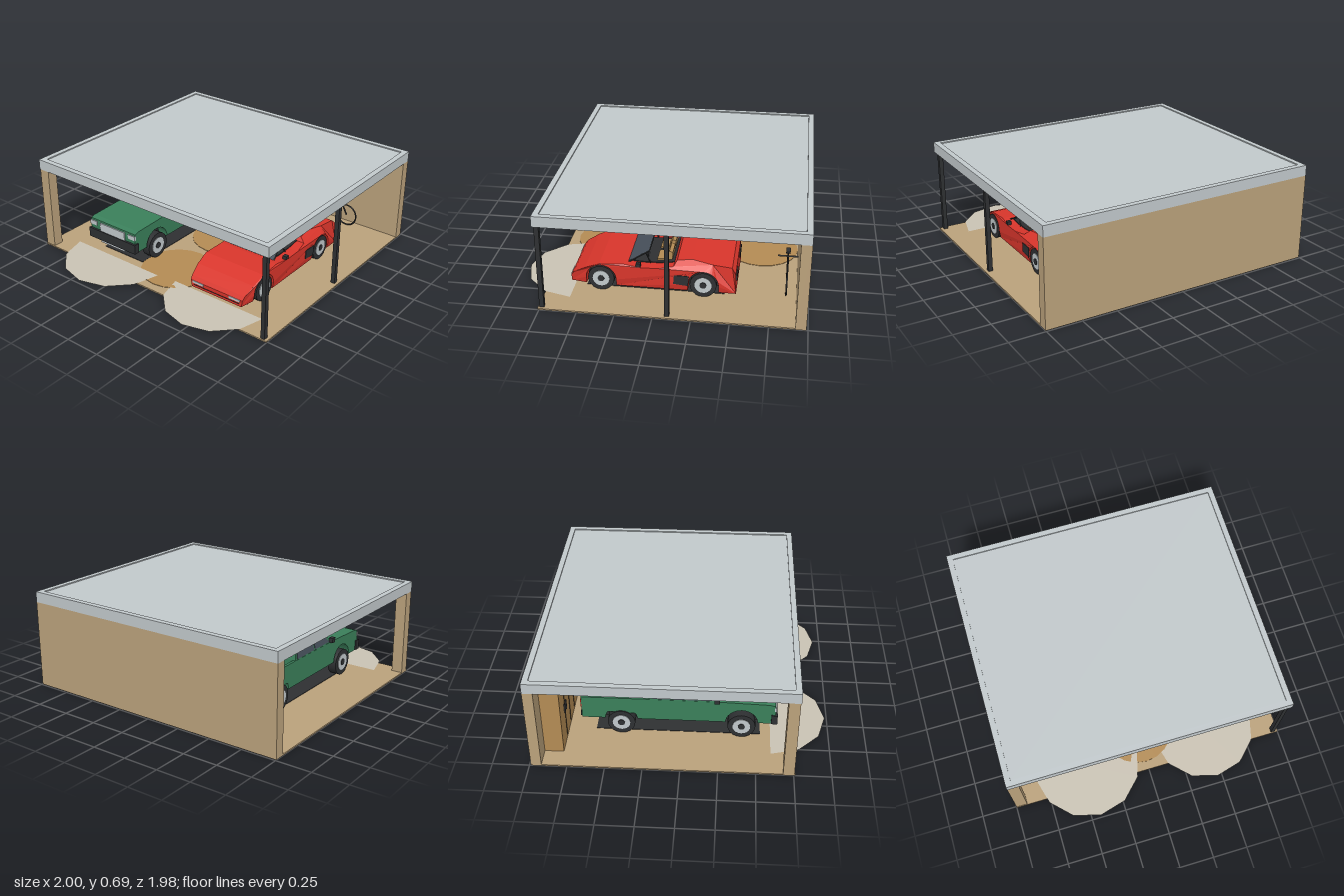
import * as THREE from 'three';

const mat = (name, color, side = THREE.FrontSide) => {
  const m = new THREE.MeshStandardMaterial({ color, side });
  m.name = name;
  return m;
};

export function createModel() {
  const tan = mat('tan', 0xbaa17b);
  const wood = mat('wood', 0xb38b54);
  const grey = mat('roofGrey', 0xc1c8cb);
  const pale = mat('paleStone', 0xc9c2b3, THREE.DoubleSide);
  const dark = mat('darkGrey', 0x2e3032);
  const glass = mat('glass', 0x48515c);
  const green = mat('green', 0x3a7f5a);
  const red = mat('red', 0xd8352b);

  const model = new THREE.Group();
  const group = (name, x = 0, parent = model) => {
    const g = new THREE.Group();
    g.name = name;
    g.position.x = x;
    parent.add(g);
    return g;
  };
  const add = (parent, name, geo, material, x = 0, y = 0, z = 0) => {
    const m = new THREE.Mesh(geo, material);
    m.name = name;
    m.position.set(x, y, z);
    parent.add(m);
    return m;
  };
  // box given by its limits on each axis
  const box = (parent, name, material, x0, x1, y0, y1, z0, z1) =>
    add(parent, name, new THREE.BoxGeometry(x1 - x0, y1 - y0, z1 - z0), material,
      (x0 + x1) / 2, (y0 + y1) / 2, (z0 + z1) / 2);
  // side outline of [z, y] points swept across x, with half width given by a rule
  const sweep = (parent, name, material, shape, half) => {
    if (Array.isArray(shape)) shape = new THREE.Shape(shape.map(p => new THREE.Vector2(...p)));
    const geo = new THREE.ExtrudeGeometry(shape, { depth: 2, bevelEnabled: false, curveSegments: 8 });
    geo.translate(0, 0, -1).rotateY(-Math.PI / 2);
    const p = geo.attributes.position;
    for (let i = 0; i < p.count; i++) p.setX(i, p.getX(i) * half(p.getY(i), p.getZ(i)));
    geo.computeVertexNormals();
    return add(parent, name, geo, material);
  };
  // body outline with two wheel arches cut from the bottom edge
  const archedShape = (top, bottom, arches, cy, r) => {
    const s = new THREE.Shape();
    s.moveTo(top[top.length - 1][0], bottom);
    for (const z of arches) {
      s.lineTo(z - r, bottom);
      s.absarc(z, cy, r, Math.PI, 0, true);
      s.lineTo(z + r, bottom);
    }
    s.lineTo(top[0][0], bottom);
    top.forEach(p => s.lineTo(...p));
    return s;
  };
  const rod = (parent, name, material, a, b, r) => {
    const path = new THREE.LineCurve3(new THREE.Vector3(...a), new THREE.Vector3(...b));
    return add(parent, name, new THREE.TubeGeometry(path, 1, r, 6), material);
  };
  const wheels = (parent, track, axles, r, w) => {
    for (const z of axles) for (const s of [-1, 1]) {
      const g = group('wheel', s * track, parent);
      [['tyre', r, w, dark], ['rim', r * 0.64, w + 0.008, grey], ['hubCap', r * 0.25, w + 0.016, dark]]
        .forEach(([n, rad, wid, m]) =>
          add(g, n, new THREE.CylinderGeometry(rad, rad, wid, 20).rotateZ(Math.PI / 2), m, 0, r + 0.012, z));
    }
  };

  // ---- Building shell ----
  const shell = group('carport');
  box(shell, 'floorSlab', tan, -1, 1, 0, 0.01, -0.99, 0.76);
  box(shell, 'backWall', tan, -1, 1, 0.01, 0.615, -0.99, -0.92);
  box(shell, 'cornerPillar', tan, -1, -0.92, 0.01, 0.615, 0.68, 0.755);
  box(shell, 'frontPost', dark, 0.95, 0.98, 0.01, 0.63, 0.72, 0.752);
  box(shell, 'middlePost', dark, 0.95, 0.98, 0.01, 0.63, -0.107, -0.077);

  // ---- Roof: fascia frame, recessed panel, joists and beams ----
  const roof = group('roof');
  box(roof, 'frontFascia', grey, -1, 1, 0.615, 0.69, 0.72, 0.76);
  box(roof, 'backFascia', grey, -1, 1, 0.615, 0.69, -0.99, -0.95);
  for (const s of [-1, 1])
    box(roof, 'sideFascia', grey, s * 0.98 - 0.02, s * 0.98 + 0.02, 0.615, 0.69, -0.95, 0.72);
  box(roof, 'roofPanel', grey, -0.96, 0.96, 0.665, 0.682, -0.95, 0.72);
  for (let i = 0; i < 24; i++) {
    const x = -0.92 + i * 0.08;
    box(roof, 'joist', wood, x - 0.016, x + 0.016, 0.64, 0.665, -0.95, 0.72);
  }
  for (const z of [0.69, -0.09, -0.72])
    box(roof, 'crossBeam', grey, -0.96, 0.96, 0.617, 0.642, z - 0.02, z + 0.02);

  // ---- Floor patches ----
  const ground = group('floorPatches');
  for (const [x, z, r] of [[-0.43, 0.6, 0.385], [0.47, 0.58, 0.37]])
    add(ground, 'drivewayPatch', new THREE.CircleGeometry(r, 6, Math.PI, Math.PI).rotateX(-Math.PI / 2), pale, x, 0.013, z);
  for (const z of [0.44, -0.14, -0.66])
    add(ground, 'floorCircle', new THREE.CylinderGeometry(0.26, 0.26, 0.003, 20), wood, 0, 0.0115, z);
  box(ground, 'truckMat', dark, -0.62, -0.25, 0.0105, 0.014, -0.6, 0.53);
  box(ground, 'sportsCarMat', dark, 0.29, 0.66, 0.0105, 0.014, -0.44, 0.5);

  // ---- Storage cabinet ----
  const cabinet = group('cabinet');
  box(cabinet, 'cabinetBody', wood, -0.865, -0.27, 0.01, 0.512, -0.92, -0.79);
  for (const x of [-0.715, -0.567, -0.418])
    box(cabinet, 'doorGap', dark, x - 0.002, x + 0.002, 0.03, 0.5, -0.79, -0.787);
  for (const x of [-0.735, -0.69, -0.44, -0.396])
    box(cabinet, 'handle', dark, x - 0.004, x + 0.004, 0.24, 0.315, -0.79, -0.78);

  // ---- Pickup truck ----
  const truck = group('pickupTruck', -0.435);
  const cabHalf = y => 0.212 - Math.max(0, y - 0.3) * 0.16;
  const truckTop = [[0.62, 0.14], [0.63, 0.24], [0.625, 0.285], [0.59, 0.295], [0.25, 0.307], [-0.23, 0.31], [-0.23, 0.2], [-0.69, 0.2]];
  sweep(truck, 'truckBody', green, archedShape(truckTop, 0.135, [-0.42, 0.4], 0.13, 0.11), () => 0.212);
  for (const s of [-1, 1]) {
    const sides = s * 0.202;
    box(truck, 'bedSide', green, sides - 0.01, sides + 0.01, 0.2, 0.31, -0.69, -0.23);
    box(truck, 'mirror', dark, s * 0.225 - 0.015, s * 0.225 + 0.015, 0.31, 0.345, 0.215, 0.25);
    box(truck, 'headlight', grey, s * 0.183 - 0.032, s * 0.183 + 0.032, 0.24, 0.272, 0.62, 0.634);
    box(truck, 'tailLight', red, s * 0.19 - 0.015, s * 0.19 + 0.015, 0.22, 0.28, -0.697, -0.688);
  }
  box(truck, 'tailgate', green, -0.195, 0.195, 0.2, 0.31, -0.69, -0.67);
  sweep(truck, 'cab', green, [[0.25, 0.305], [0.085, 0.468], [-0.2, 0.468], [-0.23, 0.305]], cabHalf);
  const cabGlass = y => cabHalf(y) + 0.003;
  sweep(truck, 'frontSideWindow', glass, [[0.215, 0.315], [0.08, 0.45], [0.008, 0.45], [0.025, 0.315]], cabGlass);
  sweep(truck, 'rearSideWindow', glass, [[0.01, 0.315], [-0.005, 0.45], [-0.185, 0.45], [-0.205, 0.315]], cabGlass);
  sweep(truck, 'windscreen', glass, [[0.235, 0.315], [0.24, 0.321], [0.107, 0.453], [0.1, 0.447]], y => cabHalf(y) - 0.018);
  sweep(truck, 'rearWindow', glass, [[-0.22, 0.33], [-0.229, 0.33], [-0.208, 0.45], [-0.2, 0.45]], y => cabHalf(y) - 0.025);
  box(truck, 'roofRail', dark, -0.145, 0.145, 0.467, 0.474, -0.19, 0.075);
  box(truck, 'wiperPanel', dark, -0.18, 0.18, 0.304, 0.312, 0.245, 0.27);
  box(truck, 'grille', grey, -0.118, 0.118, 0.21, 0.272, 0.62, 0.636);
  box(truck, 'frontBumper', dark, -0.222, 0.222, 0.138, 0.21, 0.6, 0.642);
  box(truck, 'frontPlate', grey, -0.115, 0.115, 0.12, 0.138, 0.61, 0.635);
  box(truck, 'rearBumper', dark, -0.2, 0.2, 0.14, 0.17, -0.7, -0.68);
  box(truck, 'chassis', dark, -0.13, 0.13, 0.09, 0.2, -0.6, 0.56);
  wheels(truck, 0.187, [-0.42, 0.4], 0.095, 0.065);

  // ---- Open sports car ----
  const car = group('sportsCar', 0.475);
  const carTop = [[0.6, 0.055], [0.6, 0.1], [0.58, 0.125], [0.5, 0.172], [0.4, 0.212], [0.24, 0.218], [0.12, 0.205],
    [0, 0.208], [-0.1, 0.222], [-0.12, 0.25], [-0.22, 0.258], [-0.36, 0.24], [-0.49, 0.232], [-0.515, 0.2], [-0.52, 0.05]];
  const carHalf = (y, z) => 0.245 - Math.max(0, z - 0.45) * 0.18
    - Math.max(0, y - 0.21) * 1.4 - Math.max(0, 0.1 - y) * 0.2;
  sweep(car, 'carBody', red, archedShape(carTop, 0.05, [-0.3, 0.39], 0.1, 0.103), carHalf);
  sweep(car, 'cockpit', dark, [[0.2, 0.2], [0.2, 0.219], [0.12, 0.212], [0, 0.214], [-0.1, 0.226], [-0.1, 0.2]], () => 0.17);
  sweep(car, 'windscreen', glass, [[0.21, 0.215], [0.203, 0.21], [0.07, 0.284], [0.075, 0.291]],
    y => 0.187 - (y - 0.21) * 0.4);
  for (const s of [-1, 1]) {
    rod(car, 'screenPillar', dark, [s * 0.187, 0.212, 0.208], [s * 0.157, 0.288, 0.073], 0.005);
    rod(car, 'screenBrace', dark, [s * 0.165, 0.275, 0.095], [s * 0.18, 0.21, 0.06], 0.004);
    sweep(car, 'seat', wood, [[0.02, 0.2], [0.02, 0.225], [-0.035, 0.225], [-0.06, 0.285], [-0.085, 0.28], [-0.08, 0.2]],
      () => 0.06).position.x = s * 0.08;
    box(car, 'headlight', grey, s * 0.152 - 0.045, s * 0.152 + 0.045, 0.084, 0.1, 0.598, 0.605);
    box(car, 'mirror', dark, s * 0.235 - 0.015, s * 0.235 + 0.015, 0.21, 0.235, 0.12, 0.15);
    box(car, 'tailLight', dark, s * 0.15 - 0.06, s * 0.15 + 0.06, 0.14, 0.18, -0.524, -0.515);
    sweep(car, 'sideIntake', dark, [[-0.105, 0.165], [-0.1, 0.1], [-0.2, 0.09], [-0.205, 0.165]], () => 0.002)
      .position.x = s * 0.245;
  }
  rod(car, 'screenTop', dark, [-0.157, 0.288, 0.073], [0.157, 0.288, 0.073], 0.005);
  box(car, 'noseLine', dark, -0.19, 0.19, 0.068, 0.072, 0.598, 0.603);
  add(car, 'steeringWheel', new THREE.TorusGeometry(0.03, 0.005, 6, 14), dark, 0.08, 0.235, 0.09);
  box(car, 'chassis', dark, -0.15, 0.15, 0.05, 0.17, -0.45, 0.5);
  wheels(car, 0.208, [-0.3, 0.39], 0.09, 0.065);

  // ---- Bicycle by the back wall ----
  const bike = group('bicycle', 0.475);
  bike.position.z = -0.85;
  const rear = [-0.13, 0.1, 0], front = [0.13, 0.1, 0], crank = [-0.02, 0.09, 0];
  const seat = [-0.05, 0.2, 0], head = [0.075, 0.205, 0], bar = [0.06, 0.265, 0];
  for (const c of [rear, front])
    add(bike, 'bicycleWheel', new THREE.TorusGeometry(0.082, 0.006, 6, 24), dark, ...c);
  for (const [a, b] of [[rear, crank], [rear, seat], [crank, seat], [crank, head], [seat, head], [head, front], [head, bar]])
    rod(bike, 'frameTube', dark, a, b, 0.006);
  rod(bike, 'handlebar', dark, [0.06, 0.265, -0.068], [0.06, 0.265, 0.068], 0.006);
  rod(bike, 'seatPost', dark, seat, [-0.06, 0.235, 0], 0.005);
  box(bike, 'saddle', dark, -0.09, -0.03, 0.232, 0.245, -0.015, 0.015);

  return model;
}
